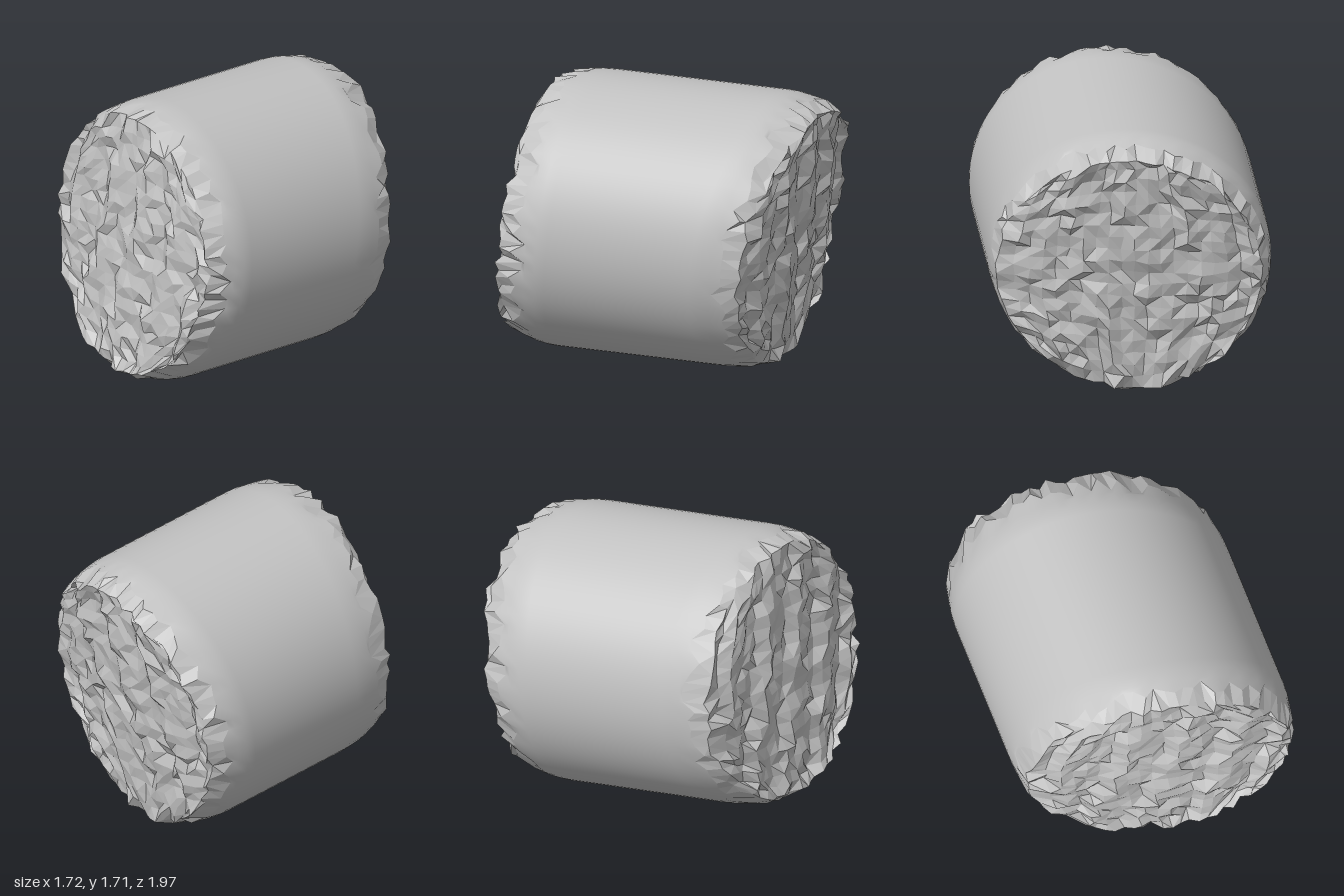
import * as THREE from 'three';

const R = 0.832;     // barrel radius
const N = 20;        // cells across each broken end
const BEVEL = 0.28;  // depth over which the barrel narrows towards its ends

// Repeatable noise from -1 to 1
function noise(a, b, c) {
  const s = Math.sin(a * 127.1 + b * 311.7 + c * 74.7 + 5.3) * 43758.5453;
  return (s - Math.floor(s)) * 2 - 1;
}

// Axis leans slightly; the two ends are cut on slanted, gently bulging surfaces
const place = (x, y, z) => [x - 0.1 * z, 0.855 + 0.05 * z + y, z];
const cutZ = (x, y, s) => (s > 0
  ? 0.755 + 0.27 * x - 0.09 * x * x - 0.1 * y
  : -0.795 + 0.25 * x + 0.12 * x * x - 0.14 * y);

// Square grid index to a point of the unit disc
function disc(i, j) {
  const u = i / N * 2 - 1, v = j / N * 2 - 1;
  return [u * Math.sqrt(1 - v * v / 2), v * Math.sqrt(1 - u * u / 2)];
}

// Grid indices round the edge, counter-clockwise
const edge = [];
for (let k = 0; k < N; k++) edge.push([k, 0]);
for (let k = 0; k < N; k++) edge.push([N, k]);
for (let k = 0; k < N; k++) edge.push([N - k, N]);
for (let k = 0; k < N; k++) edge.push([0, N - k]);

// Barrel point at a depth below the rim of end s (+1 front, -1 back)
function wallPoint(i, j, depth, s) {
  const [cx, cy] = disc(i, j);
  const end = cutZ(cx * R, cy * R, s);
  const shrink = 0.025 + 0.13 * Math.max(0, Math.abs(end) - 0.5);
  const k = Math.max(0, 1 - depth / BEVEL);
  let r = R - shrink * k * k;
  let d = depth;
  if (depth === 0) {
    d += 0.03 * noise(i, j, s);
    r += 0.01 * noise(i, j, s + 7) - 0.008;
  } else if (depth < 0.15) {
    d += 0.05 * noise(i, j, s + 3);
  }
  return place(cx * r, cy * r, end - s * d);
}

// Point on a broken end: terraces plus crumbly noise
function facePoint(i, j, s) {
  if (i === 0 || j === 0 || i === N || j === N) return wallPoint(i, j, 0, s);
  const [cx, cy] = disc(i, j);
  const x = cx * (R - 0.06) + 0.01 * noise(i, j, s + 11);
  const y = cy * (R - 0.06) + 0.01 * noise(i, j, s + 13);
  const t = (x - 0.28 * y + 2) / 0.33;
  const step = -0.055 * (t - Math.floor(t) - 0.5);
  return place(x, y, cutZ(x, y, s) + step + 0.02 * noise(i, j, s + 17));
}

function flatGeometry(quads) {
  const pos = [];
  quads.forEach(([a, b, c, d], n) => {
    if (noise(n, 2, 9) > 0) pos.push(...a, ...b, ...c, ...a, ...c, ...d);
    else pos.push(...a, ...b, ...d, ...b, ...c, ...d);
  });
  const g = new THREE.BufferGeometry();
  g.setAttribute('position', new THREE.Float32BufferAttribute(pos, 3));
  g.computeVertexNormals();
  return g;
}

// Smooth barrel with rounded shoulders
function barrelGeometry() {
  const rows = [[0.1, -1], [0.16, -1], [0.22, -1], [0.28, -1],
    [0.28, 1], [0.22, 1], [0.16, 1], [0.1, 1]];
  const pos = [], index = [], n = edge.length;
  rows.forEach(([depth, s], r) => {
    edge.forEach(([i, j], k) => {
      pos.push(...wallPoint(i, j, depth, s));
      if (r === 0) return;
      const a = (r - 1) * n + k, b = (r - 1) * n + (k + 1) % n;
      index.push(a, b, b + n, a, b + n, a + n);
    });
  });
  const g = new THREE.BufferGeometry();
  g.setAttribute('position', new THREE.Float32BufferAttribute(pos, 3));
  g.setIndex(index);
  g.computeVertexNormals();
  return g;
}

// Jagged teeth between barrel and broken end
function teethGeometry(s) {
  return flatGeometry(edge.map(([i, j], k) => {
    const [i2, j2] = edge[(k + 1) % edge.length];
    const q = [wallPoint(i, j, 0.1, s), wallPoint(i2, j2, 0.1, s),
      wallPoint(i2, j2, 0, s), wallPoint(i, j, 0, s)];
    return s > 0 ? q : q.reverse();
  }));
}

function brokenEndGeometry(s) {
  const quads = [];
  for (let i = 0; i < N; i++) {
    for (let j = 0; j < N; j++) {
      const q = [facePoint(i, j, s), facePoint(i + 1, j, s),
        facePoint(i + 1, j + 1, s), facePoint(i, j + 1, s)];
      quads.push(s > 0 ? q : q.reverse());
    }
  }
  return flatGeometry(quads);
}

export function createModel() {
  const group = new THREE.Group();
  group.name = 'brokenColumnPiece';
  const stone = new THREE.MeshStandardMaterial({ color: 0xc2c2c2 });
  stone.name = 'grey stone';
  const add = (name, geometry) => {
    const mesh = new THREE.Mesh(geometry, stone);
    mesh.name = name;
    group.add(mesh);
  };
  add('barrel', barrelGeometry());
  for (const [label, s] of [['front', 1], ['back', -1]]) {
    add(label + 'JaggedRim', teethGeometry(s));
    add(label + 'BrokenEnd', brokenEndGeometry(s));
  }
  return group;
}
